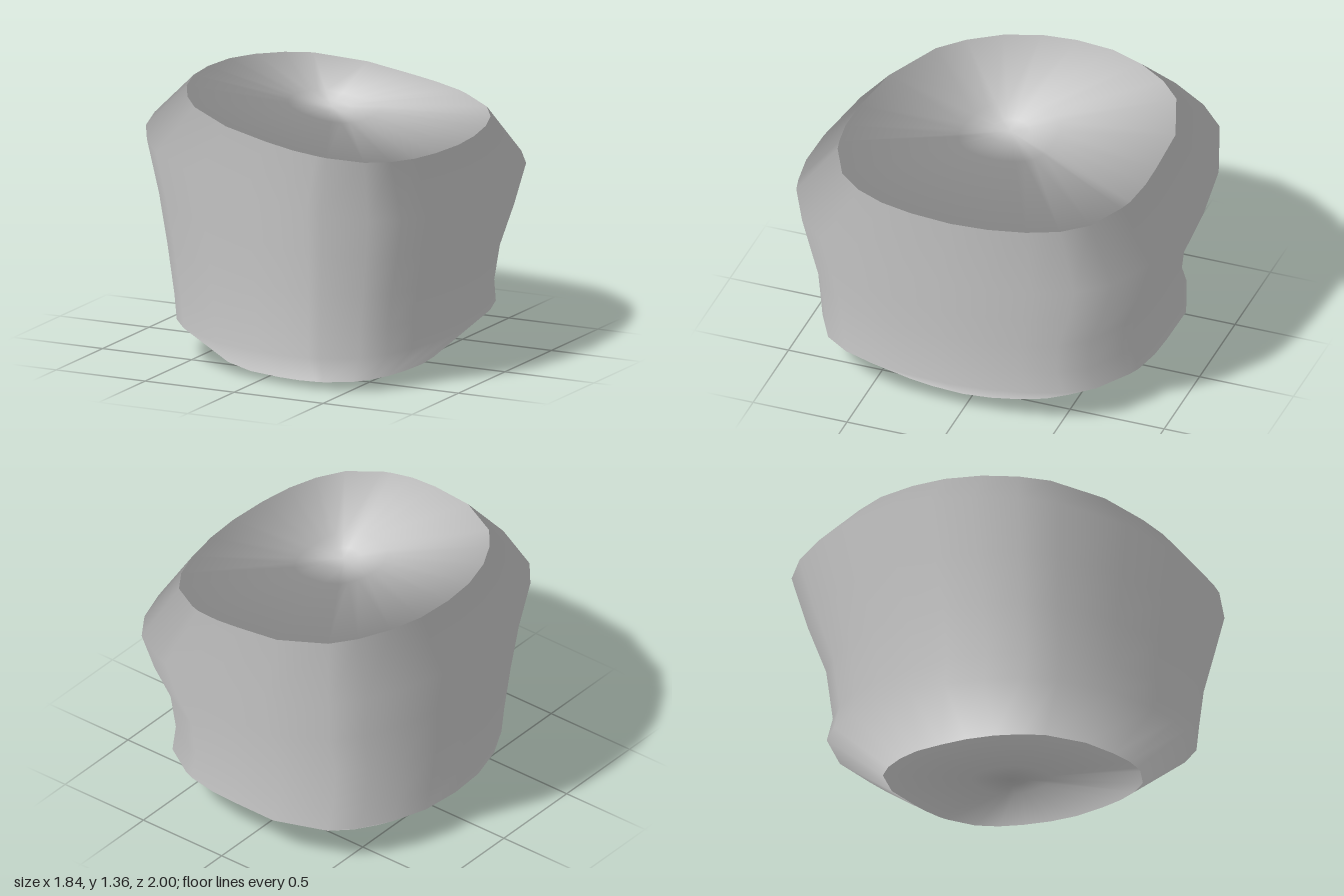
import * as THREE from 'three';

// Plan outline of the widest ring, as x, z pairs
const OUTLINE = [
  -0.27, -1, 0.05, -0.995, 0.22, -0.985, 0.4, -0.95, 0.47, -0.92, 0.68, -0.79, 0.79, -0.63,
  0.86, -0.43, 0.905, -0.19, 0.92, 0.05, 0.9, 0.32, 0.86, 0.53, 0.79, 0.71, 0.68, 0.86,
  0.47, 0.97, 0.4, 0.985, 0.25, 1, 0.05, 0.98, -0.27, 0.905, -0.59, 0.715, -0.72, 0.56,
  -0.83, 0.36, -0.9, 0.13, -0.92, -0.1, -0.9, -0.35, -0.83, -0.56, -0.72, -0.75, -0.59, -0.885,
];
const N = OUTLINE.length / 2;

// Each ring: half width in x and z, centre, height, and upward tilt of its normals
const FOOT = { sx: 0.535, sz: 0.61, cx: 0.025, cz: 0.02, tilt: 0.25, y: (x, z) => Math.max(0, -0.06 * z) };
const RIM = { sx: 0.735, sz: 0.8, cx: 0.025, cz: 0, tilt: -0.15, y: (x) => 1.255 - 0.143 * x };
const inner = (ring, f, tilt) => ({ ...ring, sx: ring.sx * f, sz: ring.sz * f, tilt });

const RINGS = [
  inner(FOOT, 0.12, 1.6),
  inner(FOOT, 0.3, 0.65),
  FOOT,
  { sx: 0.765, sz: 0.865, cx: 0.015, cz: 0.015, tilt: -0.02, y: (x, z) => 0.205 - 0.005 * x - 0.02 * z },
  { sx: 0.773, sz: 0.85, cx: 0.017, cz: 0.04, tilt: -0.06, y: () => 0.33 },
  { sx: 0.81, sz: 0.868, cx: 0.01, cz: 0.037, tilt: -0.1, y: (x) => 0.55 - 0.06 * x },
  { sx: 0.86, sz: 0.94, cx: 0.01, cz: 0.012, tilt: -0.12, y: (x) => 0.78 - 0.1 * x },
  { sx: 0.92, sz: 1, cx: 0, cz: 0, tilt: -0.12, y: (x) => 1.02 - 0.14 * x },
  RIM,
  inner(RIM, 0.3, -0.6),
  inner(RIM, 0.12, -1.6),
];

// Sideways direction of the outline at point i
function outward(i) {
  const a = 2 * ((i + N - 1) % N);
  const b = 2 * ((i + 1) % N);
  return new THREE.Vector3(OUTLINE[b + 1] - OUTLINE[a + 1], 0, OUTLINE[a] - OUTLINE[b]).normalize();
}

function loftGeometry() {
  const positions = [];
  const normals = [];
  const index = [];
  for (const r of RINGS) {
    for (let i = 0; i < N; i++) {
      const x = r.cx + (OUTLINE[2 * i] / 0.92) * r.sx;
      const z = r.cz + OUTLINE[2 * i + 1] * r.sz;
      positions.push(x, r.y(x, z), z);
      normals.push(...outward(i).setY(r.tilt).normalize().toArray());
    }
  }
  // Centre points of the two end faces
  const bottom = positions.length / 3;
  const top = bottom + 1;
  positions.push(0.025, 0, 0.02, 0.025, 1.251, 0);
  normals.push(0, 1, 0, 0, -1, 0);

  const last = (RINGS.length - 1) * N;
  for (let i = 0; i < N; i++) {
    const j = (i + 1) % N;
    for (let k = 0; k < last; k += N) {
      index.push(k + i, k + N + i, k + j, k + j, k + N + i, k + N + j);
    }
    index.push(bottom, i, j, top, last + j, last + i);
  }
  const geometry = new THREE.BufferGeometry();
  geometry.setAttribute('position', new THREE.Float32BufferAttribute(positions, 3));
  geometry.setAttribute('normal', new THREE.Float32BufferAttribute(normals, 3));
  geometry.setIndex(index);
  return geometry;
}

export function createModel() {
  const group = new THREE.Group();
  group.name = 'stump';
  // Flared body with chamfered foot and slanted top
  const body = new THREE.Mesh(
    loftGeometry(),
    new THREE.MeshStandardMaterial({ color: 0xcccccc, side: THREE.DoubleSide })
  );
  body.name = 'body';
  group.add(body);
  return group;
}
